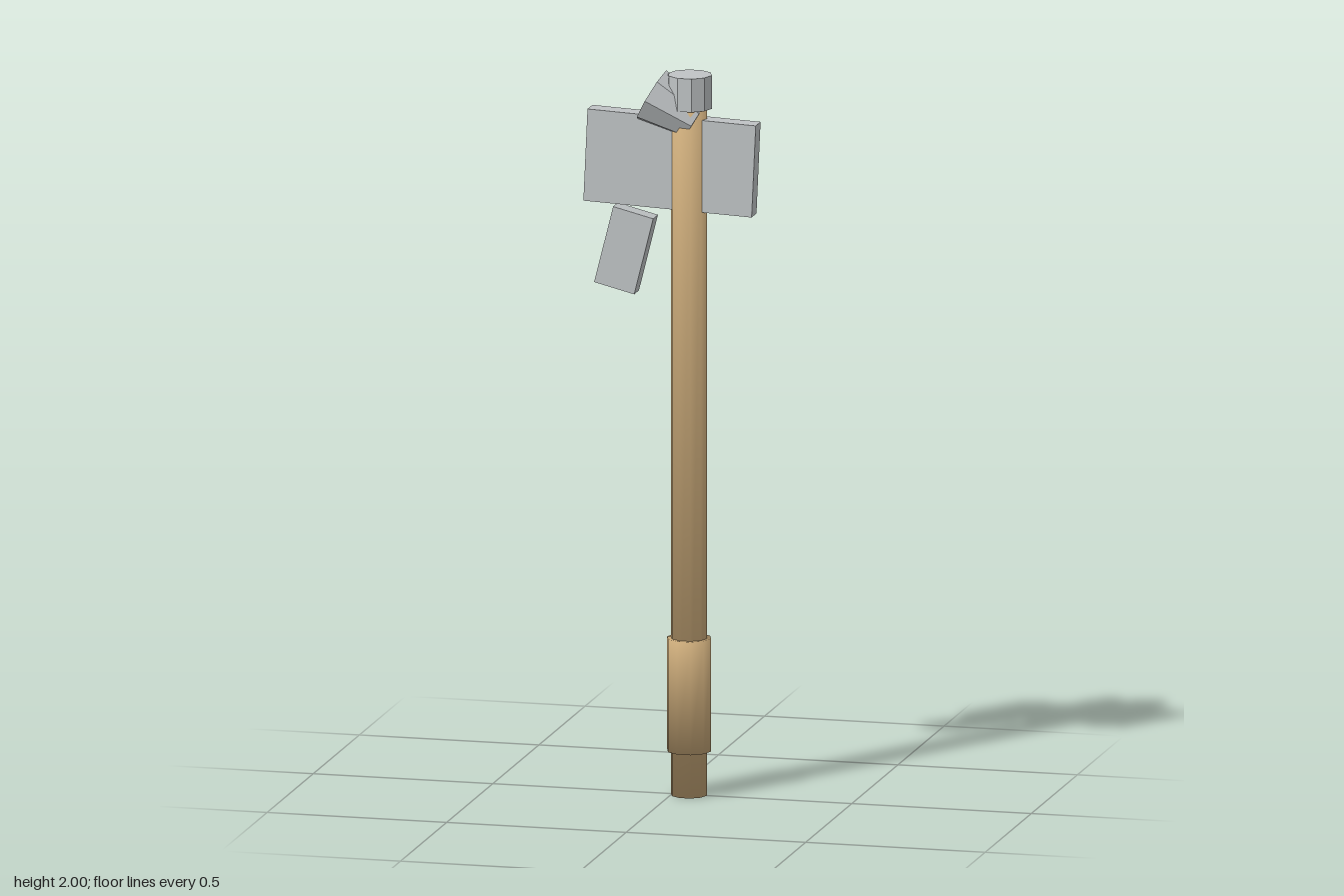
import * as THREE from 'three';

const steel = new THREE.MeshStandardMaterial({ color: 0xc0c4c6, flatShading: true });
steel.name = 'steel grey';
const wood = new THREE.MeshStandardMaterial({ color: 0xc8a878 });
wood.name = 'tan wood';

const SHAFT_X = 0.047;

function add(group, name, geometry, material, x, y, z = 0, tilt = 0) {
  const mesh = new THREE.Mesh(geometry, material);
  mesh.name = name;
  mesh.position.set(x, y, z);
  mesh.rotation.z = tilt;
  group.add(mesh);
  return mesh;
}

// Ten-sided rod, a corner on the x axis, with shading blended over the end rims
function softRod(radius, bottom, top) {
  const g = new THREE.CylinderGeometry(radius, radius, top - bottom, 10);
  g.rotateY(Math.PI / 2);
  const p = g.attributes.position;
  const n = new THREE.Vector3();
  for (let i = 0; i < p.count; i++) {
    n.set(p.getX(i) / radius, 0.8 * Math.sign(p.getY(i)), p.getZ(i) / radius).normalize();
    g.attributes.normal.setXYZ(i, n.x, n.y, n.z);
  }
  return g.translate(0, (top + bottom) / 2, 0);
}

export function createModel() {
  const model = new THREE.Group();
  model.name = 'axe';

  // Wooden handle and thicker hand grip
  add(model, 'shaft', softRod(0.05, 0, 1.9), wood, SHAFT_X, 0);
  add(model, 'grip', softRod(0.061, 0.122, 0.434), wood, SHAFT_X, 0);

  // Faceted cap on the end of the shaft
  const cap = new THREE.CylinderGeometry(0.061, 0.061, 0.092, 10).rotateY(Math.PI / 2);
  add(model, 'endCap', cap, steel, 0.049, 1.944);

  // Tapered eight-sided hammer head, tilted out to the side
  const hammer = new THREE.CylinderGeometry(0.081, 0.052, 0.14, 8);
  add(model, 'hammerHead', hammer, steel, 0.005, 1.893, 0, 1.06);

  // Wide blade through the shaft and the small plate below it
  add(model, 'blade', new THREE.BoxGeometry(0.469, 0.254, 0.053), steel, -0.001, 1.747, -0.001, -0.045);
  add(model, 'lowerPlate', new THREE.BoxGeometry(0.115, 0.218, 0.052), steel, -0.129, 1.499, -0.001, -0.245);

  return model;
}
